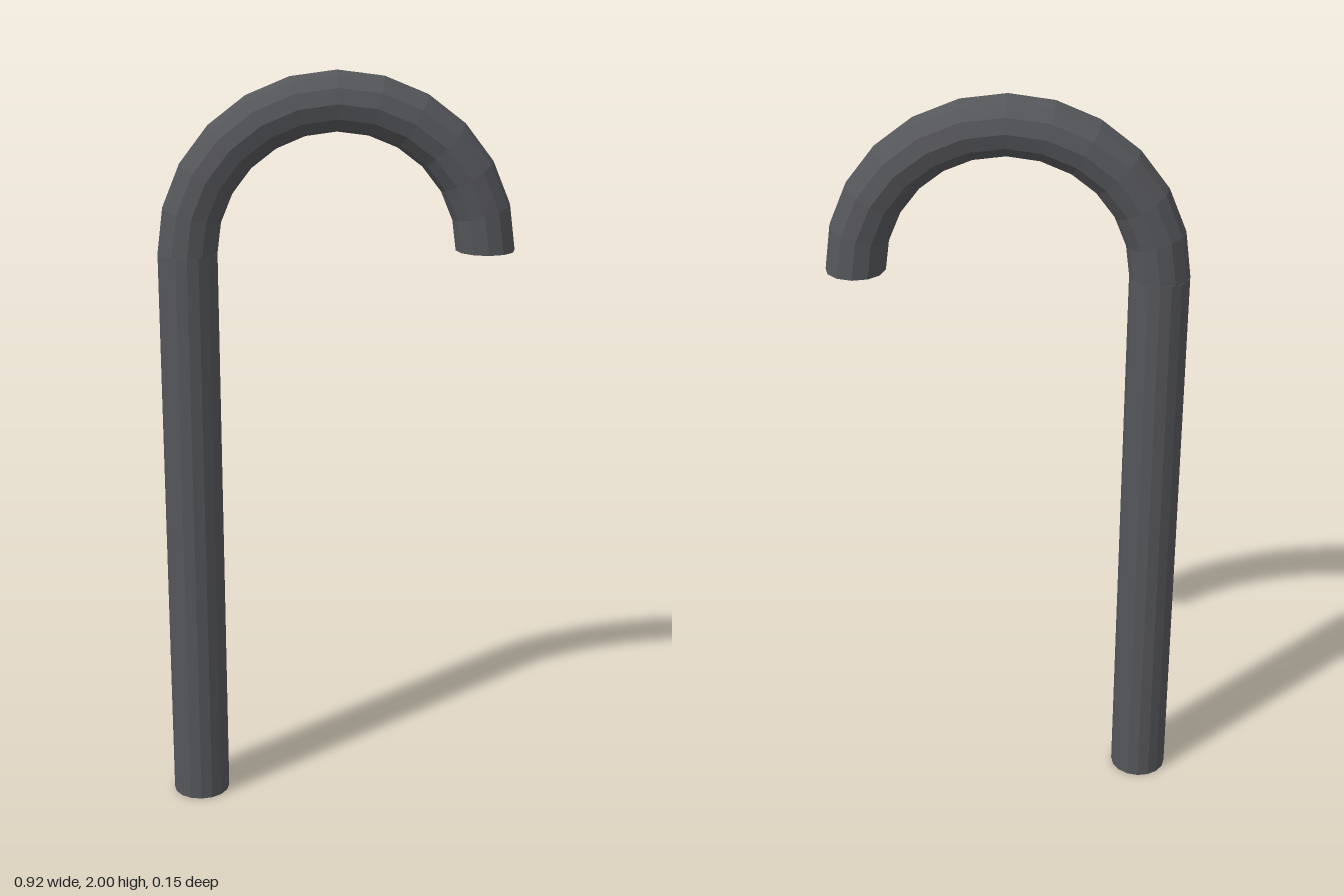
import * as THREE from 'three';

const BEND = 0.385; // centreline radius of the hook
const R = 0.077; // rod radius
const SHAFT = 1.537; // shaft height

export function createModel() {
  const group = new THREE.Group();
  const material = new THREE.MeshStandardMaterial({ color: 0x55565a, flatShading: true });

  const add = (name, geometry, x, y) => {
    const mesh = new THREE.Mesh(geometry, material);
    mesh.name = name;
    mesh.position.set(x, y, 0);
    group.add(mesh);
    return mesh;
  };

  // straight upright rod
  add('shaft', new THREE.CylinderGeometry(R, R, SHAFT, 16), -BEND, SHAFT / 2);

  // half-ring handle on top of the rod
  add('hook', new THREE.TorusGeometry(BEND, R, 12, 12, Math.PI), 0, SHAFT);

  // downward-facing cap on the free end of the hook
  add('hookEndCap', new THREE.CircleGeometry(R, 12).rotateX(Math.PI / 2), BEND, SHAFT);

  return group;
}
